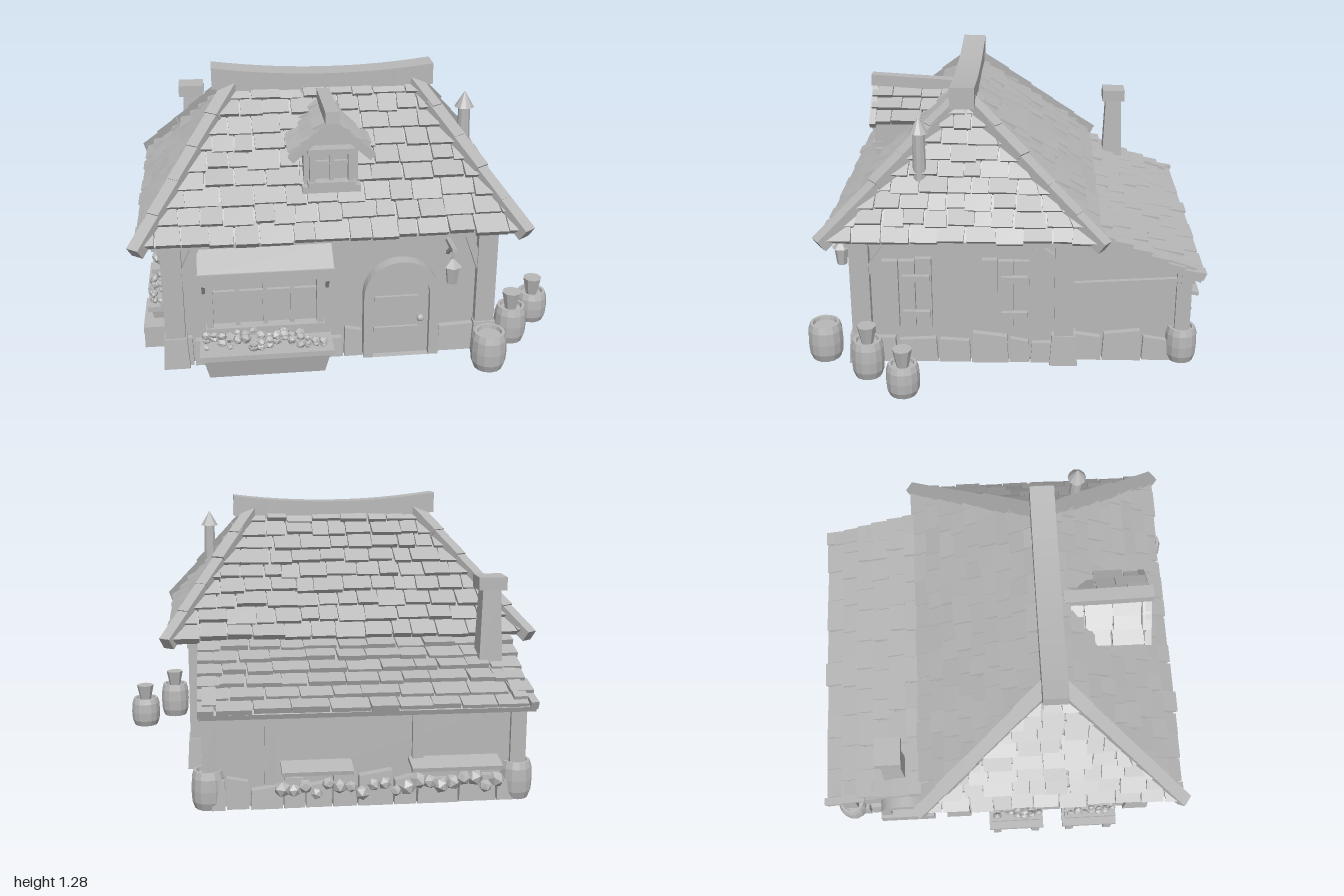
import * as THREE from 'three';
import { mergeGeometries } from 'three/addons/utils/BufferGeometryUtils.js';

const stone = new THREE.MeshStandardMaterial({ color: 0xb8b8b8, side: THREE.DoubleSide, flatShading: true });
stone.name = 'plain grey';
const V = (x, y, z) => new THREE.Vector3(x, y, z);
let seed = 7;
const rnd = (a = 0, b = 1) => {
  seed = (seed * 16807) % 2147483647;
  return a + (b - a) * seed / 2147483647;
};

function add(parent, name, geo, x = 0, y = 0, z = 0) {
  const m = new THREE.Mesh(geo, stone);
  m.name = name;
  m.position.set(x, y, z);
  parent.add(m);
  return m;
}
// box from its limits
const span = (p, name, x0, x1, y0, y1, z0, z1) =>
  add(p, name, new THREE.BoxGeometry(x1 - x0, y1 - y0, z1 - z0), (x0 + x1) / 2, (y0 + y1) / 2, (z0 + z1) / 2);
// straight timber between two points, in the parent's own frame
function beam(p, name, a, b, w, h) {
  const m = add(p, name, new THREE.BoxGeometry(w, h, a.distanceTo(b)));
  m.position.copy(a).lerp(b, 0.5);
  m.quaternion.setFromRotationMatrix(new THREE.Matrix4().lookAt(b, a, V(0, 1, 0)));
}
// move every vertex by a rule
function reshape(geo, rule) {
  const pos = geo.attributes.position, v = V(0, 0, 0);
  for (let i = 0; i < pos.count; i++) {
    rule(v.fromBufferAttribute(pos, i));
    pos.setXYZ(i, v.x, v.y, v.z);
  }
  geo.computeVertexNormals();
  return geo;
}

// rows of overlapping shingles on a slope: a,b = eave left/right, c,d = top left/right
function shingles(p, name, a, b, c, d, rows, width) {
  const e = b.clone().sub(a).normalize();
  const n = e.clone().cross(c.clone().sub(a)).normalize();
  const parts = [];
  const at = (s, v, out) => {
    const l = a.clone().lerp(c, v), r = b.clone().lerp(d, v);
    const s0 = l.clone().sub(a).dot(e), s1 = r.clone().sub(a).dot(e);
    return l.addScaledVector(e, THREE.MathUtils.clamp(s, s0, s1) - s0).addScaledVector(n, out);
  };
  const total = a.distanceTo(b);
  for (let i = 0; i < rows; i++) {
    const v0 = i / rows, v1 = Math.min(1, (i + 1.15) / rows);
    const from = c.clone().sub(a).dot(e) * v0;
    const to = total + d.clone().sub(b).dot(e) * v0;
    for (let s = from - rnd(0, width * 0.6); s < to - 0.02;) {
      const w = width * rnd(0.7, 1.3), s0 = s, drop = rnd(0, 0.025), t = rnd(0.022, 0.038), skew = rnd(-0.006, 0.006);
      s += w;
      if (s < from + 0.01) continue;
      parts.push(reshape(new THREE.BoxGeometry(1, 1, 1), q => {
        const top = q.y > 0;
        const side = q.x < 0 ? s0 + 0.003 : s0 + w - 0.003;
        q.copy(at(side + (top ? 0 : skew), top ? v1 : v0 - drop, q.z < 0 ? -0.004 : top ? 0.008 : t));
      }));
    }
  }
  add(p, name, mergeGeometries(parts));
}

// rough foundation stones along a wall
function stoneRow(p, x0, z0, x1, z1) {
  const dx = x1 - x0, dz = z1 - z0, len = Math.hypot(dx, dz);
  for (let s = 0; s < len - 0.03;) {
    const w = Math.min(rnd(0.09, 0.2), len - s), h = rnd(0.09, 0.15), k = (s + w / 2) / len, lean = rnd(-0.012, 0.012);
    const geo = reshape(new THREE.BoxGeometry(w - 0.006, h, rnd(0.05, 0.07)), q => { if (q.y > 0) { q.x *= 0.93; q.z *= 0.8; q.y += Math.sign(q.x) * lean; } });
    add(p, 'foundationStone', geo, x0 + dx * k, h / 2, z0 + dz * k).rotation.y = -Math.atan2(dz, dx);
    s += w;
  }
}

// group facing +z locally, turned to a wall
function mount(p, name, x, y, z, turn) {
  const g = new THREE.Group();
  g.name = name;
  g.position.set(x, y, z);
  g.rotation.y = turn;
  p.add(g);
  return g;
}
// framed window with mullions, centred on its bottom edge
function windowFrame(g, w, h, cols, t = 0.03) {
  for (const s of [-1, 1]) span(g, 'windowJamb', s * w / 2 - t / 2, s * w / 2 + t / 2, 0, h, 0, 0.05);
  for (const y of [0, h - t]) span(g, 'windowRail', -w / 2 - 0.02, w / 2 + 0.02, y, y + t, 0, 0.06);
  for (let i = 1; i < cols; i++) span(g, 'mullion', -w / 2 + w * i / cols - 0.01, -w / 2 + w * i / cols + 0.01, 0, h, 0, 0.035);
  span(g, 'glazingBar', -w / 2, w / 2, h * 0.55, h * 0.55 + 0.015, 0, 0.03);
  span(g, 'pane', -w / 2, w / 2, 0, h, 0, 0.012);
}
// flared trough filled with flowers
function flowerBox(g, w, h, d) {
  add(g, 'flowerBox', reshape(new THREE.BoxGeometry(w, h, d), q => { if (q.y < 0) { q.x *= 0.9; q.z = q.z > 0 ? q.z * 0.6 : q.z; } }), 0, h / 2, d / 2);
  span(g, 'flowerBoxRim', -w / 2 - 0.01, w / 2 + 0.01, h - 0.025, h, 0, d + 0.01);
  for (let x = -w / 2 + 0.02; x < w / 2; x += 0.035)
    for (let k = 0; k < 3; k++) {
      const f = add(g, 'flower', new THREE.IcosahedronGeometry(rnd(0.015, 0.028), 0), x, h + rnd(0.01, 0.075), d * rnd(0.25, 0.95));
      f.rotation.set(rnd(0, 3), rnd(0, 3), 0);
      f.scale.y = 0.7;
    }
}
const barrelGeo = (r, h) => new THREE.LatheGeometry([[0, 0], [0.8, 0], [0.96, 0.2], [1, 0.5], [0.96, 0.82], [0.84, 1], [0.68, 1], [0.64, 0.9], [0, 0.9]]
  .map(([x, y]) => new THREE.Vector2(x * r, y * h)), 14);
// arched outline
function arch(w, h, S = THREE.Shape) {
  const s = new S(), r = w / 2;
  s.moveTo(-r, 0).lineTo(-r, h - r);
  s.absarc(0, h - r, r, Math.PI, 0, true);
  s.lineTo(r, 0);
  return s;
}
const extrude = (s, depth) => new THREE.ExtrudeGeometry(s, { depth, bevelEnabled: false, curveSegments: 10 });
function archway(g, w, h, t, depth) {
  const s = arch(w, h);
  s.holes.push(arch(w - 2 * t, h - t, THREE.Path));
  add(g, 'archFrame', extrude(s, depth));
  add(g, 'archPanel', extrude(arch(w - 2 * t, h - t), depth * 0.45));
}

export function createModel() {
  const house = new THREE.Group();
  house.name = 'cottage';

  // walls
  span(house, 'mainWalls', -0.83, 0.61, 0, 0.64, -0.3, 0.685);
  add(house, 'leanToWalls', reshape(new THREE.BoxGeometry(1.38, 0.6, 0.56),
    q => { if (q.y > 0) q.y = q.z > 0 ? 0.34 : 0.14; }), -0.12, 0.3, -0.55);
  stoneRow(house, -0.83, 0.69, 0.04, 0.69);
  stoneRow(house, 0.39, 0.69, 0.61, 0.69);
  for (const [x, lx] of [[-0.835, -0.81], [0.615, 0.575]]) {
    stoneRow(house, x, 0.68, x, -0.3);
    stoneRow(house, lx, -0.3, lx, -0.82);
  }
  stoneRow(house, -0.8, -0.845, 0.56, -0.845);

  // timber frame
  for (const x of [-0.82, 0.61]) {
    const s = Math.sign(x);
    for (const z of [0.68, -0.26]) {
      span(house, 'cornerPost', x - 0.045, x + 0.045, 0.1, 0.62, z - 0.045, z + 0.045);
      add(house, 'postFoot', reshape(new THREE.BoxGeometry(0.12, 0.15, 0.13), q => { if (q.y > 0) { q.x *= 0.85; q.z *= 0.85; } }), x, 0.075, z);
    }
    beam(house, 'sideBrace', V(x + s * 0.02, 0.46, 0.65), V(x + s * 0.02, 0.6, 0.54), 0.035, 0.035);
    beam(house, 'sideBrace', V(x + s * 0.02, 0.53, -0.22), V(x + s * 0.02, 0.6, -0.12), 0.035, 0.035);
    span(house, 'sidePlate', x - 0.05, x + 0.05, 0.6, 0.66, -0.33, 0.73);
    const lx = x < 0 ? -0.8 : 0.56;
    span(house, 'leanToPost', lx - 0.035, lx + 0.035, 0.1, 0.46, -0.85, -0.78);
    beam(house, 'leanToRail', V(lx, 0.375, -0.3), V(lx, 0.405, -0.8), 0.06, 0.035);
    beam(house, 'leanToRafter', V(lx, 0.63, -0.33), V(lx, 0.45, -0.86), 0.06, 0.05);
    add(house, 'cornerBoulder', barrelGeo(0.075, 0.17), x < 0 ? -0.8 : 0.57, 0, -0.815);
  }
  span(house, 'frontPlate', -0.9, 0.68, 0.6, 0.65, 0.63, 0.735);
  span(house, 'leanToPlate', -0.84, 0.6, 0.4, 0.45, -0.86, -0.8);
  for (const x of [-0.35, 0.3]) span(house, 'leanToStud', x - 0.025, x + 0.025, 0.1, 0.43, -0.85, -0.82);
  beam(house, 'frontBrace', V(0.59, 0.4, 0.7), V(0.52, 0.6, 0.7), 0.035, 0.035);
  beam(house, 'frontBrace', V(-0.79, 0.42, 0.7), V(-0.71, 0.6, 0.7), 0.035, 0.035);

  // hipped roof
  const fl = V(-0.94, 0.655, 0.805), fr = V(0.73, 0.655, 0.805), bl = V(-0.94, 0.655, -0.4), br = V(0.73, 0.655, -0.4);
  const rl = V(-0.5, 1.2, 0.215), rr = V(0.31, 1.2, 0.215);
  add(house, 'roofDeck', reshape(new THREE.BoxGeometry(1, 1, 1), q => {
    const left = q.x < 0;
    if (q.y > 0) q.copy(left ? rl : rr);
    else q.copy(q.z > 0 ? (left ? fl : fr) : (left ? bl : br));
  }));
  shingles(house, 'frontShingles', fl, fr, rl, rr, 9, 0.12);
  shingles(house, 'backShingles', br, bl, rr, rl, 9, 0.12);
  shingles(house, 'rightShingles', fr, br, rr, rr, 9, 0.11);
  shingles(house, 'leftShingles', bl, fl, rl, rl, 9, 0.11);
  // hip caps, in short overlapping lengths
  for (const [a, b] of [[fl, rl], [fr, rr], [bl, rl], [br, rr]])
    for (let i = 0; i < 5; i++) {
      const from = a.clone().lerp(b, i / 5 - 0.05), to = a.clone().lerp(b, (i + 1) / 5);
      beam(house, 'hipCap', from.add(V(0, 0.018, 0)), to.add(V(0, 0.01, 0)), rnd(0.056, 0.07), rnd(0.055, 0.065));
    }
  add(house, 'ridgeBeam', reshape(new THREE.BoxGeometry(1.03, 0.1, 0.115, 12, 1, 1),
    q => { q.y += 0.036 * (q.x / 0.515) ** 2 - 0.01 * q.x; }), -0.095, 1.193, 0.215);

  // lean-to roof
  beam(house, 'leanToDeck', V(-0.13, 0.42, -0.89), V(-0.13, 0.67, -0.3), 1.47, 0.025);
  shingles(house, 'leanToShingles', V(0.61, 0.43, -0.885), V(-0.87, 0.43, -0.885), V(0.61, 0.68, -0.3), V(-0.87, 0.68, -0.3), 7, 0.14);

  // chimney and stovepipe
  add(house, 'chimney', reshape(new THREE.BoxGeometry(0.11, 0.4, 0.11), q => { if (q.y > 0) { q.x *= 0.75; q.z *= 0.75; } }), -0.73, 0.72, -0.55);
  span(house, 'chimneyCap', -0.795, -0.665, 0.9, 0.96, -0.61, -0.49);
  add(house, 'stovepipe', new THREE.CylinderGeometry(0.027, 0.032, 0.24, 10), 0.545, 0.99, 0.4);
  add(house, 'stovepipeCap', new THREE.ConeGeometry(0.045, 0.075, 10), 0.545, 1.14, 0.4);

  // dormer
  const dormer = mount(house, 'dormer', -0.1, 0, 0, 0);
  const gable = new THREE.Shape([[-0.12, 0.82], [0.12, 0.82], [0.12, 1.0], [0, 1.12], [-0.12, 1.0]].map(p => new THREE.Vector2(...p)));
  add(dormer, 'dormerBody', extrude(gable, 0.36), 0, 0, 0.28);
  windowFrame(mount(dormer, 'dormerWindow', 0, 0.85, 0.635, 0), 0.17, 0.18, 2, 0.025);
  span(dormer, 'dormerSill', -0.13, 0.13, 0.82, 0.85, 0.62, 0.68);
  for (const s of [-1, 1]) {
    const e0 = V(s * 0.165, 0.99, s > 0 ? 0.69 : 0.3), e1 = V(s * 0.165, 0.99, s > 0 ? 0.3 : 0.69);
    shingles(dormer, 'dormerShingles', e0, e1, V(0, 1.14, e0.z), V(0, 1.14, e1.z), 3, 0.12);
    beam(dormer, 'bargeBoard', V(s * 0.18, 0.985, 0.68), V(0, 1.145, 0.68), 0.03, 0.035);
  }
  beam(dormer, 'dormerRidge', V(0, 1.15, 0.29), V(0, 1.175, 0.7), 0.06, 0.055);

  // shop window, awning and planter
  windowFrame(mount(house, 'shopWindow', -0.41, 0.17, 0.685, 0), 0.5, 0.34, 4);
  const awning = mount(house, 'awning', -0.405, 0, 0, 0);
  beam(awning, 'awningCloth', V(0, 0.58, 0.69), V(0, 0.505, 0.815), 0.6, 0.015);
  const scallops = new THREE.Shape().moveTo(-0.305, 0.515);
  for (let i = 0; i < 8; i++) {
    const x = -0.305 + i * 0.07625;
    scallops.lineTo(x, 0.475).quadraticCurveTo(x + 0.038, 0.435, x + 0.07625, 0.475);
  }
  scallops.lineTo(0.305, 0.515);
  add(awning, 'awningValance', extrude(scallops, 0.012), 0, 0, 0.808);
  for (const s of [-1, 1]) beam(awning, 'awningArm', V(s * 0.28, 0.36, 0.69), V(s * 0.28, 0.5, 0.8), 0.015, 0.015);
  flowerBox(mount(house, 'frontPlanter', -0.41, 0, 0.71, 0), 0.58, 0.13, 0.15);

  // door and lantern
  const door = mount(house, 'door', 0.215, 0, 0.685, 0);
  archway(door, 0.35, 0.49, 0.045, 0.06);
  for (const y of [0.12, 0.28]) span(door, 'doorStrap', -0.125, 0.08, y, y + 0.025, 0.02, 0.04);
  add(door, 'doorKnob', new THREE.IcosahedronGeometry(0.018, 1), 0.09, 0.19, 0.045);
  const lantern = mount(house, 'lantern', 0.43, 0, 0.8, 0);
  beam(lantern, 'lanternArm', V(0, 0.565, -0.12), V(0, 0.575, 0.03), 0.02, 0.02);
  beam(lantern, 'lanternStrut', V(0, 0.5, -0.11), V(0, 0.565, -0.03), 0.014, 0.014);
  add(lantern, 'lanternLink', new THREE.CylinderGeometry(0.006, 0.006, 0.06, 6), 0, 0.54, 0);
  add(lantern, 'lanternHood', new THREE.ConeGeometry(0.045, 0.04, 6), 0, 0.51, 0);
  add(lantern, 'lanternGlass', new THREE.CylinderGeometry(0.035, 0.024, 0.09, 6), 0, 0.45, 0);

  // plank shutters on the right wall
  for (const [z, w] of [[0.465, 0.23], [0.01, 0.22]]) {
    const g = mount(house, 'plankShutter', 0.61, 0.17, z, Math.PI / 2);
    for (let i = 0; i < 3; i++)
      span(g, 'plank', w * (i / 3 - 0.5) + 0.002, w * ((i + 1) / 3 - 0.5) - 0.002, rnd(0, 0.02), rnd(0.34, 0.36), 0, rnd(0.025, 0.035));
    for (const y of [0.07, 0.25]) span(g, 'hinge', -0.02, w / 2 - 0.01, y, y + 0.03, 0.02, 0.05);
  }

  // left wall windows, flower boxes and benches
  for (const z of [0.42, 0.04]) {
    const g = mount(house, 'leftWindow', -0.83, 0, z, -Math.PI / 2);
    windowFrame(mount(g, 'sash', 0, 0.22, 0, 0), 0.24, 0.31, 2);
    flowerBox(mount(g, 'sillPlanter', 0, 0.15, 0.03, 0), 0.24, 0.07, 0.08);
    span(g, 'benchSeat', -0.14, 0.14, 0.09, 0.12, 0.04, 0.145);
    for (const s of [-1, 1]) span(g, 'benchLeg', s * 0.1 - 0.02, s * 0.1 + 0.02, 0, 0.09, 0.05, 0.145);
  }
  const oven = mount(house, 'oven', -0.81, 0, -0.53, -Math.PI / 2);
  archway(oven, 0.26, 0.3, 0.05, 0.06);
  span(oven, 'ovenHearth', -0.14, 0.14, 0, 0.09, 0, 0.075);

  // back shelves over a rockery
  for (const [x, w] of [[-0.51, 0.4], [0.1, 0.31]])
    beam(house, 'backShelf', V(x, 0.195, -0.82), V(x, 0.175, -0.94), w, 0.018);
  for (let x = -0.7; x < 0.28; x += 0.05) {
    const r = rnd(0.025, 0.04);
    add(house, 'rock', new THREE.IcosahedronGeometry(r, 0), x, rnd(0.06, 0.12), -0.875).rotation.set(rnd(0, 3), rnd(0, 3), 0);
  }

  // barrels and sacks by the door
  for (const [x, z, r, h, top] of [[0.6, 0.865, 0.083, 0.18, 0], [0.76, 0.64, 0.077, 0.18, 0.25], [0.915, 0.46, 0.077, 0.15, 0.22]]) {
    add(house, 'barrel', barrelGeo(r, h), x, 0, z);
    if (top) add(house, 'sackNeck', new THREE.CylinderGeometry(0.045, 0.025, top - h + 0.03, 8), x, (top + h - 0.03) / 2, z);
  }
  return house;
}
